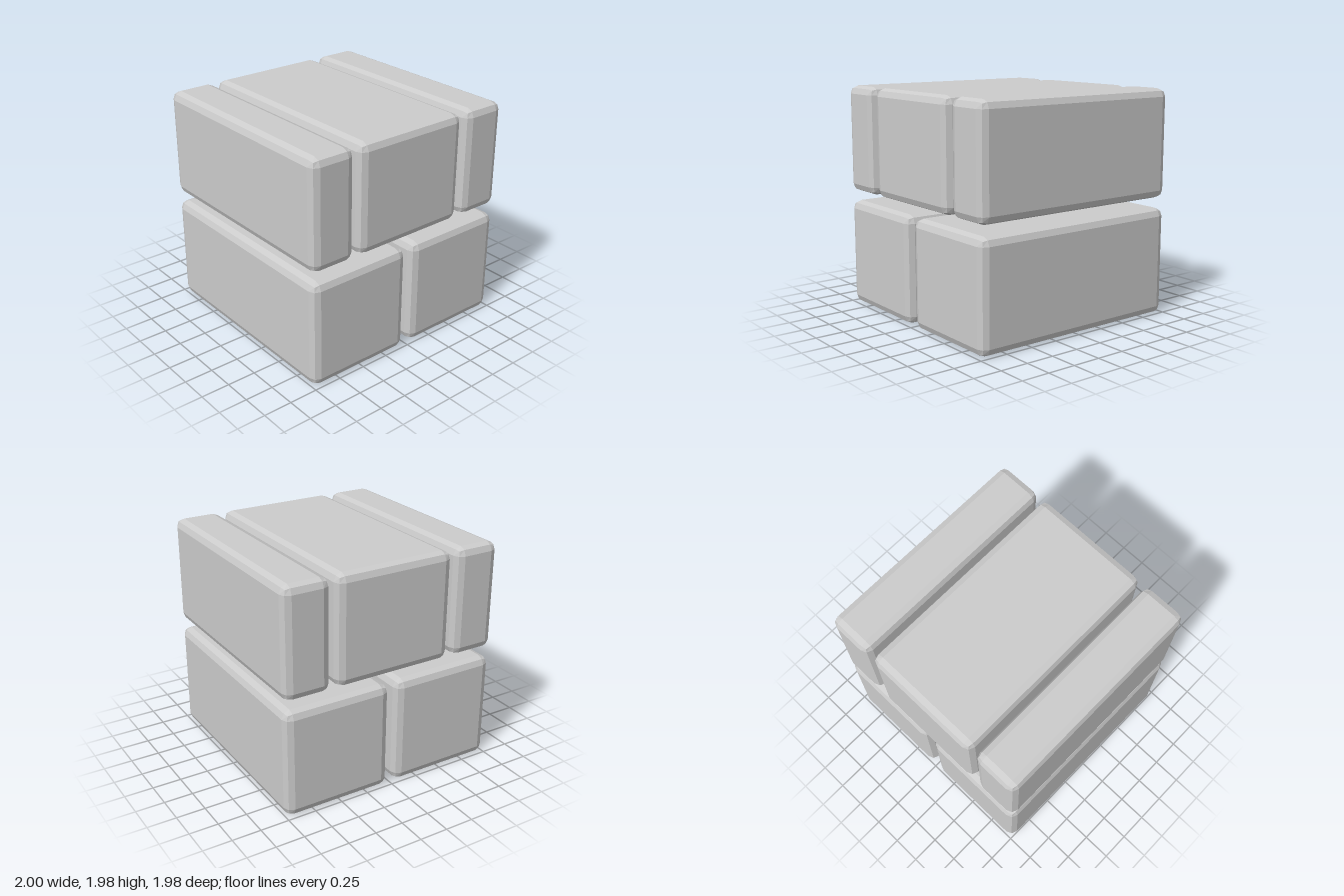
import * as THREE from 'three';

const DEPTH = 1.975;
const BEVEL = 0.07;

// Box with a two-step bevel: the outer ring of a 3x3x3 grid is pulled onto a rounded edge.
function bevelledBox(w, h, d, r) {
  const geometry = new THREE.BoxGeometry(w, h, d, 3, 3, 3);
  const half = new THREE.Vector3(w, h, d).multiplyScalar(0.5);
  const inner = half.clone().subScalar(r);
  const pos = geometry.attributes.position;
  const p = new THREE.Vector3();
  const core = new THREE.Vector3();
  for (let i = 0; i < pos.count; i++) {
    p.fromBufferAttribute(pos, i);
    for (const axis of ['x', 'y', 'z']) {
      // Move inner grid lines to the start of the bevel
      const outer = Math.abs(p[axis]) > half[axis] * 0.9;
      core[axis] = Math.sign(p[axis]) * inner[axis];
      p[axis] = outer ? Math.sign(p[axis]) * half[axis] : core[axis];
    }
    p.sub(core).setLength(r).add(core);
    pos.setXYZ(i, p.x, p.y, p.z);
  }
  geometry.computeVertexNormals();
  return geometry;
}

export function createModel() {
  const group = new THREE.Group();
  group.name = 'brickBlock';
  const material = new THREE.MeshStandardMaterial({ color: 0xcccccc, flatShading: true });

  // Two courses of bricks, each brick given by its x range
  const courses = [
    { name: 'lowerBrick', y0: 0, y1: 0.947, spans: [[-1, -0.036], [0.034, 1]] },
    { name: 'upperBrick', y0: 1.035, y1: 1.98, spans: [[-1, -0.593], [-0.539, 0.534], [0.589, 1]] },
  ];
  for (const { name, y0, y1, spans } of courses) {
    spans.forEach(([x0, x1], i) => {
      const brick = new THREE.Mesh(bevelledBox(x1 - x0, y1 - y0, DEPTH, BEVEL), material);
      brick.name = `${name}${i + 1}`;
      brick.position.set((x0 + x1) / 2, (y0 + y1) / 2, 0);
      group.add(brick);
    });
  }
  return group;
}
